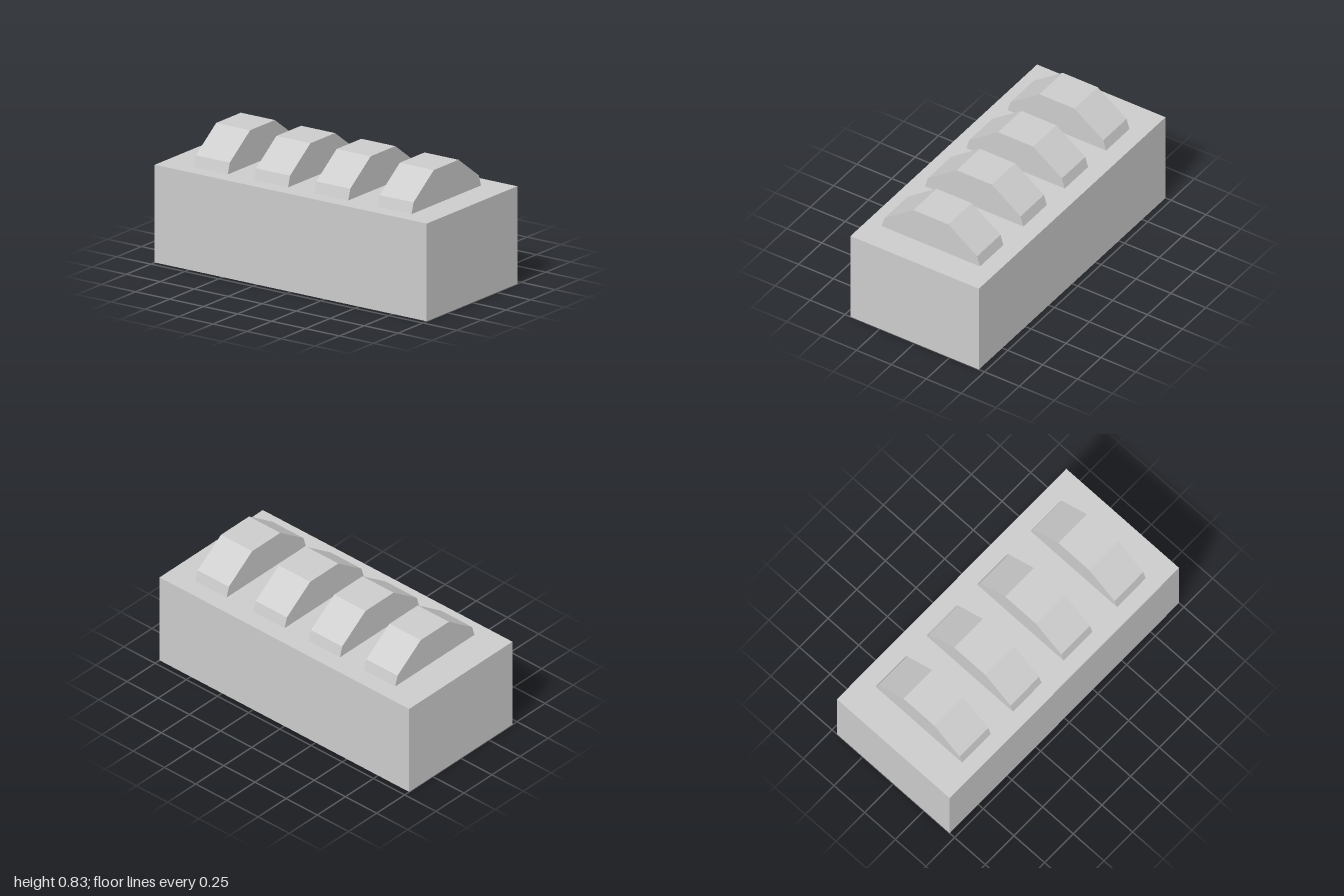
import * as THREE from 'three';

export function createModel() {
  const model = new THREE.Group();
  model.name = 'ridgedBlock';
  const material = new THREE.MeshStandardMaterial({ color: 0xcccccc, flatShading: true });

  // Main block
  const width = 0.92, height = 0.61, length = 2;
  const base = new THREE.Mesh(new THREE.BoxGeometry(width, height, length), material);
  base.name = 'base';
  base.position.y = height / 2;
  model.add(base);

  // Faceted hump profile, extruded along z
  const profile = new THREE.Shape([
    [-0.36, 0], [0.345, 0], [0.325, 0.068], [0.118, 0.218], [-0.133, 0.218], [-0.34, 0.068],
  ].map(([x, y]) => new THREE.Vector2(x, y)));
  const depth = 0.25;
  const humpGeometry = new THREE.ExtrudeGeometry(profile, { depth, bevelEnabled: false });
  humpGeometry.translate(0, 0, -depth / 2);

  // Row of four humps along the top
  [0.691, 0.226, -0.217, -0.66].forEach((z, i) => {
    const hump = new THREE.Mesh(humpGeometry, material);
    hump.name = `hump${i + 1}`;
    hump.position.set(0, height, z);
    model.add(hump);
  });

  return model;
}
